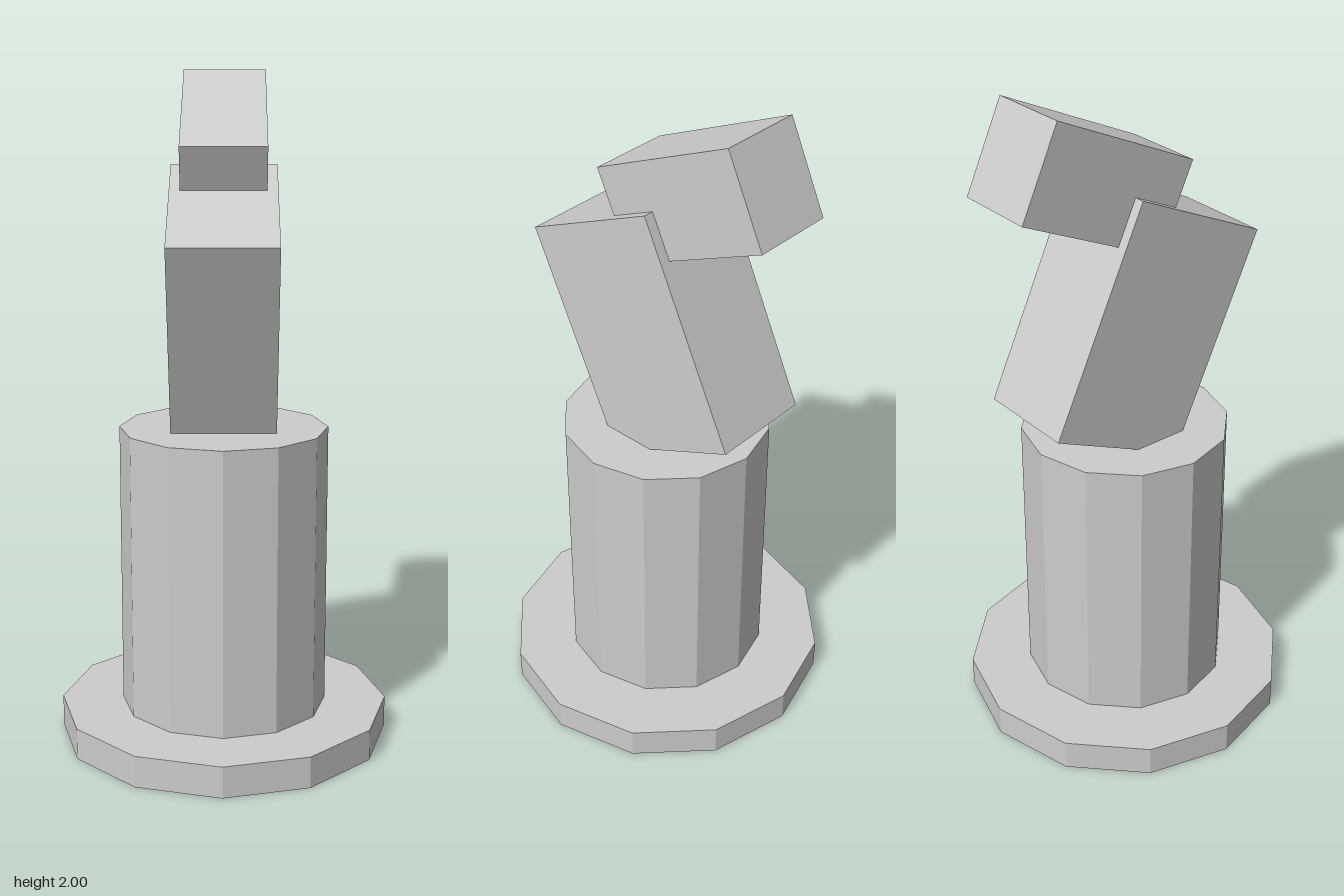
import * as THREE from 'three';

export function createModel() {
  const model = new THREE.Group();
  const grey = new THREE.MeshStandardMaterial({ color: 0xcccccc, flatShading: true });
  grey.name = 'light grey';
  const tilt = THREE.MathUtils.degToRad(25);

  function add(name, geometry, y, z = 0, rotation = 0) {
    const mesh = new THREE.Mesh(geometry, grey);
    mesh.name = name;
    mesh.position.set(0, y, z);
    mesh.rotation.x = rotation;
    model.add(mesh);
  }

  // Twelve-sided foot and column
  const baseTop = 0.095, columnTop = 0.957;
  add('base', new THREE.CylinderGeometry(0.5, 0.5, baseTop, 12), baseTop / 2);
  add('column', new THREE.CylinderGeometry(0.3125, 0.3125, columnTop - baseTop, 12), (baseTop + columnTop) / 2);

  // Two blocks leaning forward by the same angle, each sunk into the part below
  add('lowerArm', new THREE.BoxGeometry(0.3125, 0.705, 0.47), 1.31, 0, tilt);
  add('upperArm', new THREE.BoxGeometry(0.25, 0.28, 0.5), 1.767, -0.149, tilt);

  return model;
}
